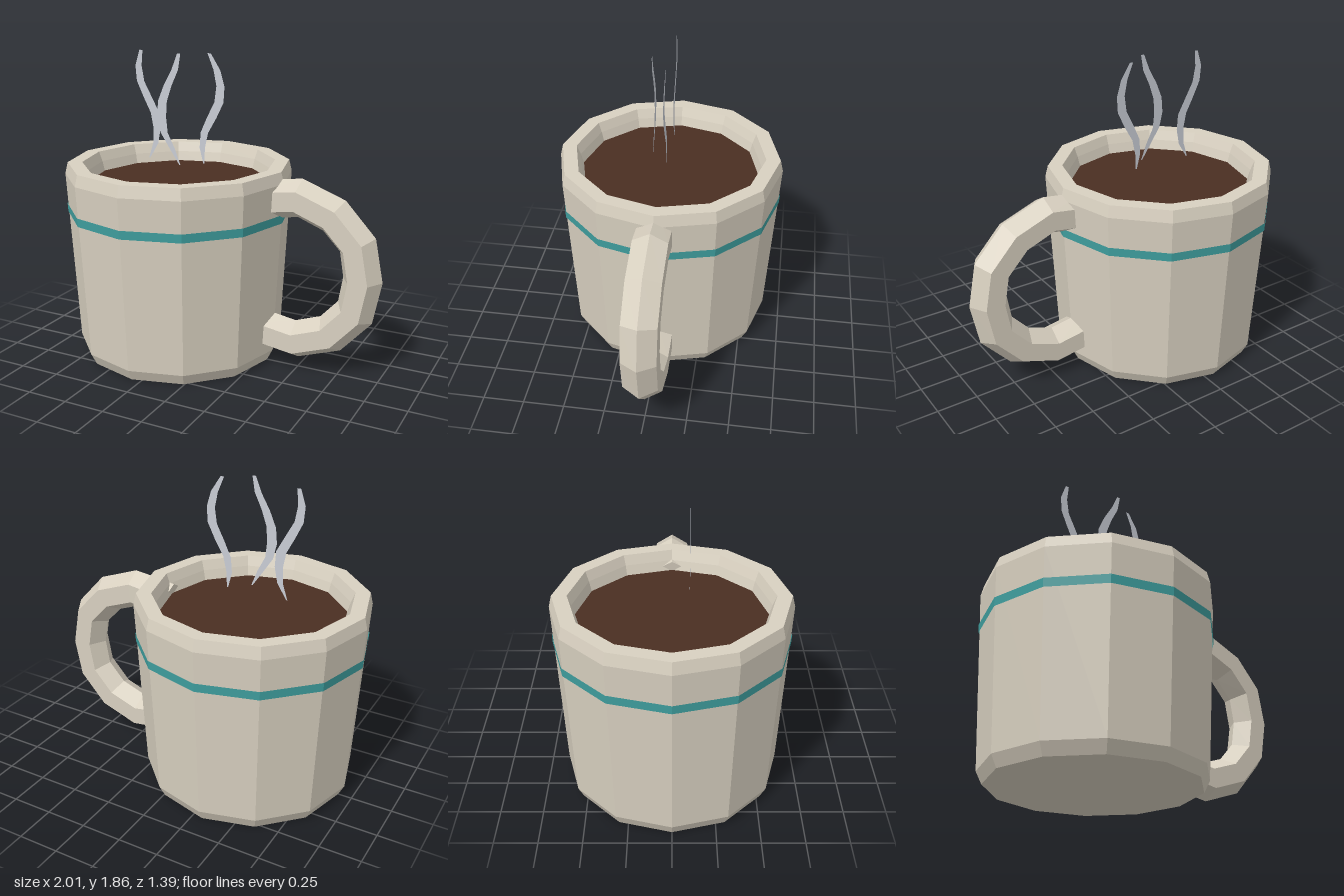
import * as THREE from 'three';

const SIDES = 12;
const AXIS_X = -0.31; // the cup sits left of centre to make room for the handle

const paint = (color, extra = {}) =>
  new THREE.MeshStandardMaterial({ color, flatShading: true, ...extra });

function part(name, geometry, material) {
  const mesh = new THREE.Mesh(geometry, material);
  mesh.name = name;
  return mesh;
}

// Sweeps a six-sided section, ridge outwards, along a path in the XY plane
function hexSweep(path, radius) {
  const pts = path.map(([x, y]) => new THREE.Vector2(x, y));
  const n = 6, last = pts.length - 1;
  const positions = [], index = [];
  pts.forEach((p, i) => {
    const t = pts[Math.min(i + 1, last)].clone().sub(pts[Math.max(i - 1, 0)]).normalize();
    for (let k = 0; k < n; k++) {
      const a = (k / n) * Math.PI * 2;
      const out = Math.cos(a) * radius;
      positions.push(p.x - t.y * out, p.y + t.x * out, Math.sin(a) * radius);
    }
  });
  for (let i = 0; i < last; i++) {
    for (let k = 0; k < n; k++) {
      const a = i * n + k, b = i * n + (k + 1) % n;
      index.push(a, b, a + n, b, b + n, a + n);
    }
  }
  // End caps
  for (let k = 1; k < n - 1; k++) {
    index.push(0, k + 1, k, last * n, last * n + k, last * n + k + 1);
  }
  const geometry = new THREE.BufferGeometry();
  geometry.setAttribute('position', new THREE.Float32BufferAttribute(positions, 3));
  geometry.setIndex(index);
  geometry.computeVertexNormals();
  return geometry;
}

// Flat wavy ribbon: a plane whose rows follow the given centre line
function ribbon(centres, widths, y0, y1) {
  const rows = centres.length - 1;
  const geometry = new THREE.PlaneGeometry(1, 1, 1, rows);
  const pos = geometry.attributes.position;
  for (let i = 0; i < pos.count; i++) {
    const row = rows - Math.floor(i / 2); // plane rows run from top to bottom
    const side = i % 2 ? 0.5 : -0.5;
    pos.setXY(i, centres[row] + side * widths[row], y0 + (y1 - y0) * row / rows);
  }
  return geometry;
}

export function createModel() {
  const model = new THREE.Group();
  model.name = 'steamingMug';
  const ceramic = paint(0xd8d0c0);

  // Cup: base, tapered wall, chamfered rim and inner lip
  const profile = [
    [0, 0], [0.605, 0], [0.64, 0.07], [0.695, 1.13], [0.678, 1.2],
    [0.59, 1.2], [0.567, 1.14], [0.54, 1.04],
  ].map(([r, y]) => new THREE.Vector2(r, y));
  const cup = part('cup', new THREE.LatheGeometry(profile, SIDES), ceramic);
  cup.position.x = AXIS_X;
  model.add(cup);

  // Coloured stripe around the wall
  const stripe = part('stripe',
    new THREE.CylinderGeometry(0.691, 0.688, 0.052, SIDES, 1, true),
    paint(0x3f9f9f, { side: THREE.DoubleSide }));
  stripe.position.set(AXIS_X, 0.917, 0);
  model.add(stripe);

  // Drink surface
  const drink = part('drink', new THREE.CylinderGeometry(0.55, 0.545, 0.02, SIDES), paint(0x4a2e22));
  drink.position.set(AXIS_X, 1.07, 0);
  model.add(drink);

  // Handle, from the upper joint round to the lower one
  model.add(part('handle', hexSweep([
    [0.245, 1.025], [0.49, 1.06], [0.7, 0.98], [0.845, 0.825], [0.883, 0.62],
    [0.845, 0.415], [0.7, 0.255], [0.49, 0.18], [0.25, 0.215],
  ], 0.117), ceramic));

  // Wisps of steam
  const widths = [0.008, 0.036, 0.05, 0.062, 0.06, 0.053, 0.044, 0.022];
  const vapour = paint(0xc8ccd4, { side: THREE.DoubleSide });
  const wisps = [
    { z: 0, centres: [-0.52, -0.475, -0.463, -0.475, -0.525, -0.573, -0.585, -0.565] },
    { z: 0.1, centres: [-0.25, -0.3, -0.355, -0.37, -0.362, -0.325, -0.275, -0.247] },
    { z: 0, centres: [-0.14, -0.15, -0.135, -0.085, -0.037, -0.027, -0.05, -0.1] },
  ];
  const steam = new THREE.Group();
  steam.name = 'steam';
  for (const { z, centres } of wisps) {
    const wisp = part('steamWisp', ribbon(centres, widths, 1.2, 1.86), vapour);
    wisp.position.z = z;
    steam.add(wisp);
  }
  model.add(steam);

  return model;
}
